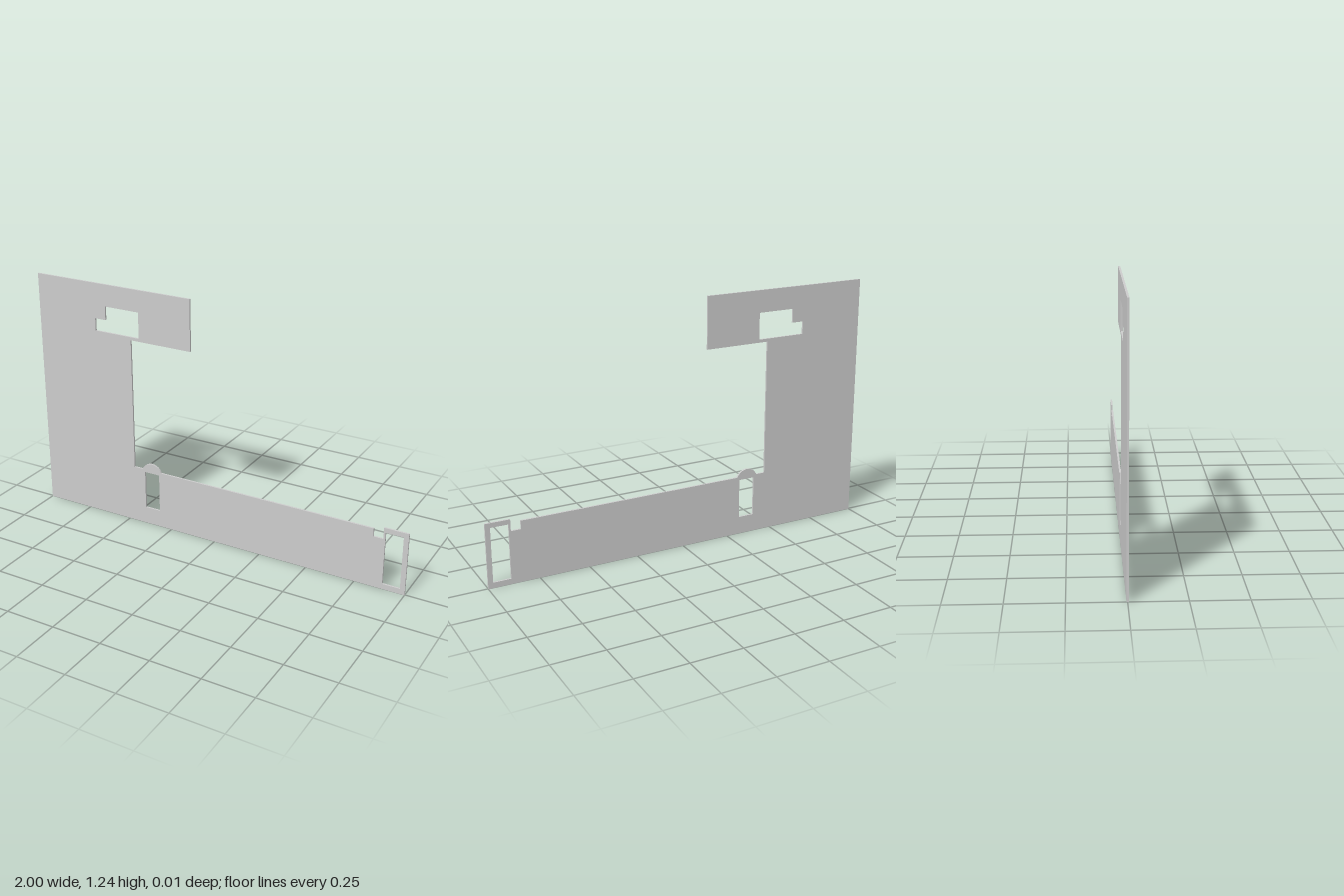
import * as THREE from 'three';

const THICKNESS = 0.009;

// Closed path from corner pairs
function hole(points) {
  return new THREE.Path(points.map(([x, y]) => new THREE.Vector2(x, y)));
}

function rectHole(x0, x1, y0, y1) {
  return hole([[x0, y0], [x0, y1], [x1, y1], [x1, y0]]);
}

export function createModel() {
  const group = new THREE.Group();
  group.name = 'flatPlate';

  // Outline: base bar, tall upright and top arm
  const s = new THREE.Shape();
  s.moveTo(-1, 0);
  s.lineTo(1, 0);
  s.lineTo(1, 0.32);
  s.lineTo(0.88, 0.32);
  // Small notch beside the end frame
  s.lineTo(0.88, 0.262);
  s.lineTo(0.831, 0.262);
  s.lineTo(0.831, 0.303);
  // Rounded bump over the slot
  const cx = -0.361, cy = 0.281, r = 0.059;
  const a = Math.asin((0.303 - cy) / r);
  s.lineTo(cx + r * Math.cos(a), 0.303);
  s.absarc(cx, cy, r, a, Math.PI - a, false);
  s.lineTo(-0.463, 0.303);
  s.lineTo(-0.463, 0.981);
  s.lineTo(-0.131, 0.981);
  s.lineTo(-0.131, 1.238);
  s.lineTo(-1, 1.238);
  s.closePath();

  // Cut-outs: slot under the bump, end frame window, stepped upper window
  s.holes.push(
    rectHole(-0.401, -0.318, 0.089, 0.289),
    rectHole(0.889, 0.976, 0.027, 0.297),
    hole([[-0.666, 0.996], [-0.666, 1.059], [-0.606, 1.059],
      [-0.606, 1.128], [-0.416, 1.128], [-0.416, 0.996]])
  );

  const geometry = new THREE.ExtrudeGeometry(s, {
    depth: THICKNESS, bevelEnabled: false, curveSegments: 16,
  });
  geometry.translate(0, 0, -THICKNESS / 2);

  const plate = new THREE.Mesh(geometry, new THREE.MeshStandardMaterial({ color: 0xcccccc }));
  plate.name = 'plate';
  group.add(plate);
  return group;
}
